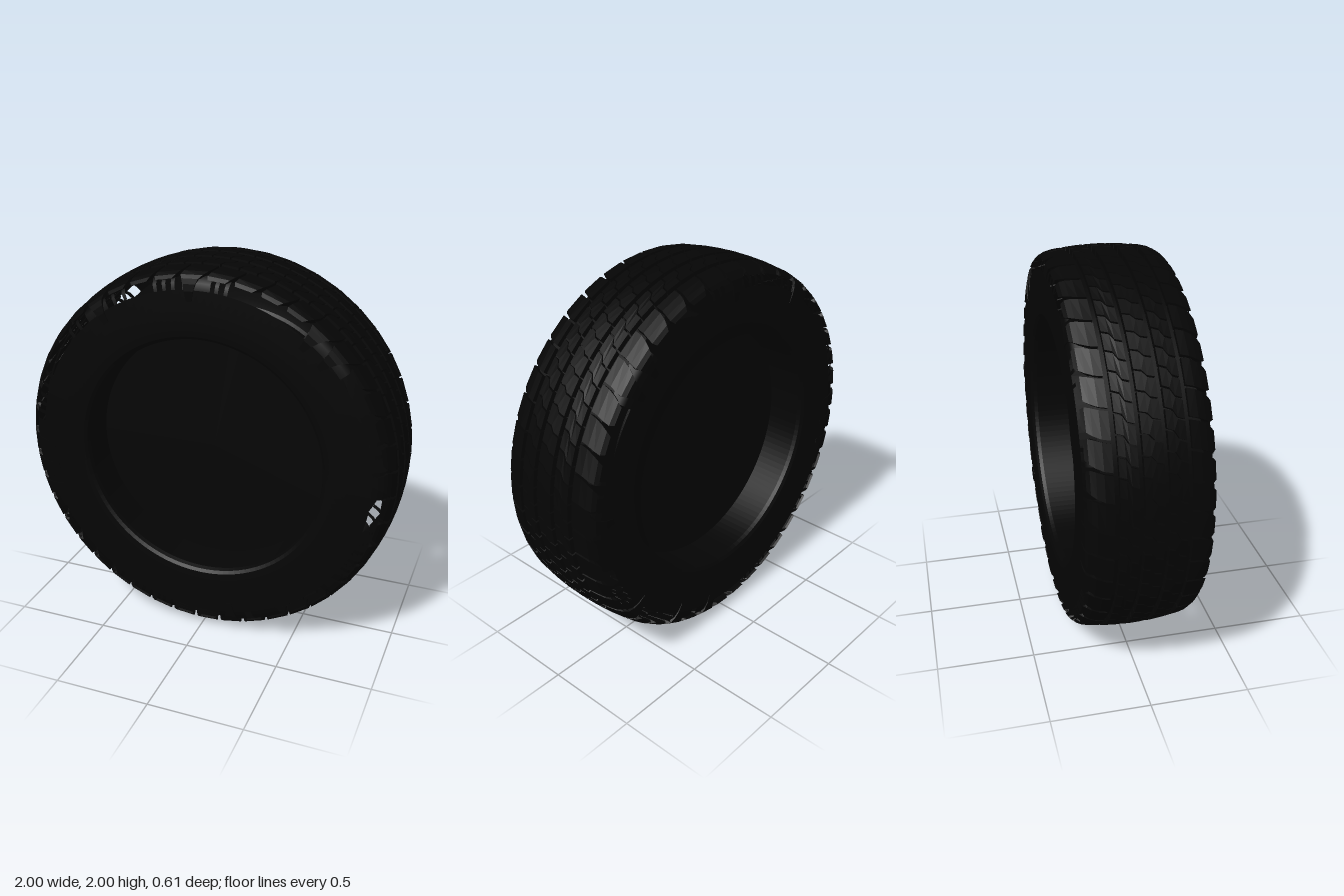
import * as THREE from 'three';
import { mergeGeometries } from 'three/addons/utils/BufferGeometryUtils.js';

const RAD = Math.PI / 180;
const rubber = new THREE.MeshStandardMaterial({ color: 0x050505, side: THREE.DoubleSide });
const rubberFlat = new THREE.MeshStandardMaterial({ color: 0x050505, side: THREE.DoubleSide, flatShading: true });

// Open arcs in the shoulder [from, to, ...bars inside], in degrees counter-clockwise from +x
const WINDOWS = [
  [54, 86, 81, 84], [6, 37.5, 11, 15], [-34, -3, -31, -27, -23], [-61, -42], [-73.5, -71],
  [-153, -83, -149, -145, -139, -135, -121, -115, -112, -109, -106, -104, -101],
  [131, 174, 135, 139, 157, 161, 165, 168, 171], [95, 122, 98, 101, 104, 115, 119],
];

// Surface of revolution about z from [radius, z] points, over an arc in degrees
function revolve(points, from = 0, to = 360, segments = 128) {
  const profile = points.map(([r, z]) => new THREE.Vector2(r, z));
  const g = new THREE.LatheGeometry(profile, segments, (from + 90) * RAD, (to - from) * RAD);
  return g.rotateX(Math.PI / 2);
}

// Tread block swept through stations [z, outerRadius, innerRadius, innerZ, angleShift, halfWidth]
function block(angle, stations) {
  const pos = [], index = [];
  for (const [z, ro, ri, zi, shift, half] of stations) {
    for (const [side, r, zz] of [[-1, ri, zi], [1, ri, zi], [1, ro, z], [-1, ro, z]]) {
      const a = (angle + shift + side * half) * RAD;
      pos.push(r * Math.cos(a), r * Math.sin(a), zz);
    }
  }
  const last = (stations.length - 1) * 4;
  for (let b = 0; b < last; b += 4) {
    for (let i = 0; i < 4; i++) {
      const j = (i + 1) % 4;
      index.push(b + i, b + j, b + 4 + j, b + i, b + 4 + j, b + 4 + i);
    }
  }
  index.push(0, 2, 1, 0, 3, 2, last, last + 1, last + 2, last, last + 2, last + 3);
  const g = new THREE.BufferGeometry();
  g.setAttribute('position', new THREE.Float32BufferAttribute(pos, 3));
  g.setIndex(index);
  g.computeVertexNormals();
  return g;
}

const crown = (z) => 1 - 0.35 * z * z;
const inWindow = (angle) => WINDOWS.some(([a, b]) => [-360, 0, 360].some((k) => angle + k > a - 2 && angle + k < b + 2));

// Circumferential rib cut into blocks by Z-shaped cross grooves
function ribGeometry(z0, z1, count, skew, gap) {
  const blocks = [];
  const half = 180 / count - gap;
  for (let i = 0; i < count; i++) {
    const stations = [[0, -0.5], [0.38, -0.3], [0.62, 0.3], [1, 0.5]].map(([t, s]) => {
      const z = z0 + (z1 - z0) * t;
      return [z, crown(z), 0.955, z, s * skew, half];
    });
    blocks.push(block((i * 360) / count, stations));
  }
  return mergeGeometries(blocks);
}

// Curved shoulder lugs; short over the open arcs, long elsewhere
function lugGeometry(side, count) {
  const lugs = [];
  for (let i = 0; i < count; i++) {
    const angle = ((i + (side > 0 ? 0 : 0.5)) * 360) / count;
    const profile = [
      [0.18, 0.989, 0.955, 0.18, 0, 3.7], [0.22, 0.984, 0.95, 0.215, 0.5, 3.7],
      [0.255, 0.975, 0.947, 0.245, 1.4, 3.6], [0.28, 0.962, 0.945, 0.265, 2.2, 3.3],
      [0.296, 0.946, 0.942, 0.284, 2.5, 2.6],
    ];
    if (!inWindow(angle + side * 2.7)) {
      profile.push([0.302, 0.92, 0.915, 0.288, 2.7, 2], [0.305, 0.885, 0.88, 0.293, 2.9, 1.5], [0.303, 0.835, 0.835, 0.296, 3, 1]);
    }
    lugs.push(block(angle, profile.map(([z, ro, ri, zi, s, h]) => [side * z, ro, ri, side * zi, side * s, h])));
  }
  return mergeGeometries(lugs);
}

// Shoulder wall: the solid arcs between windows and the bars that cross them
function shoulderGeometry(side) {
  const wall = [[0.89, 0.3], [0.925, 0.293], [0.95, 0.272], [0.962, 0.235]].map(([r, z]) => [r, z * side]);
  const sorted = [...WINDOWS].sort((a, b) => a[0] - b[0]);
  const parts = [];
  sorted.forEach(([, end, ...bars], i) => {
    const next = i + 1 < sorted.length ? sorted[i + 1][0] : sorted[0][0] + 360;
    parts.push(revolve(wall, end, next, Math.max(2, Math.ceil((next - end) / 3))));
    for (const bar of bars) parts.push(revolve(wall, bar - 0.6, bar + 0.6, 1));
  });
  return mergeGeometries(parts);
}

export function createModel() {
  const model = new THREE.Group();
  model.name = 'tire';
  const wheel = new THREE.Group();
  wheel.name = 'wheel';
  wheel.position.y = 1;
  model.add(wheel);
  const add = (name, geometry, material = rubber) => {
    const mesh = new THREE.Mesh(geometry, material);
    mesh.name = name;
    wheel.add(mesh);
  };

  // Floor of the tread grooves
  add('treadFloor', revolve([[0.962, -0.235], [0.967, -0.1], [0.967, 0.1], [0.962, 0.235]]));

  // Three ribs between the shoulders, separated by four grooves
  add('centreRib', ribGeometry(-0.046, 0.046, 66, 2.5, 0.25), rubberFlat);
  for (const side of [1, -1]) {
    const label = side > 0 ? 'front' : 'back';
    add(label + 'Rib', ribGeometry(side * 0.07, side * 0.156, 66, 3.5 * side, 0.28), rubberFlat);
    add(label + 'ShoulderLugs', lugGeometry(side, 44), rubberFlat);
    add(label + 'Shoulder', shoulderGeometry(side));

    // Flat sidewall from the bead to the shoulder
    const sidewall = [[0.66, 0.297], [0.7, 0.301], [0.785, 0.302], [0.89, 0.3]];
    add(label + 'Sidewall', revolve(sidewall.map(([r, z]) => [r, z * side])));

    // Bead edge and the recessed barrel
    const bead = [[0.66, 0.297], [0.645, 0.285], [0.638, 0.265], [0.636, 0.08]];
    add(label + 'Barrel', revolve(bead.map(([r, z]) => [r, z * side])), rubberFlat);

    // Plate closing the middle
    const plate = new THREE.CircleGeometry(0.637, 128).rotateY(side > 0 ? 0 : Math.PI);
    add(label + 'CentrePlate', plate.translate(0, 0, 0.085 * side), rubberFlat);
  }
  return model;
}
